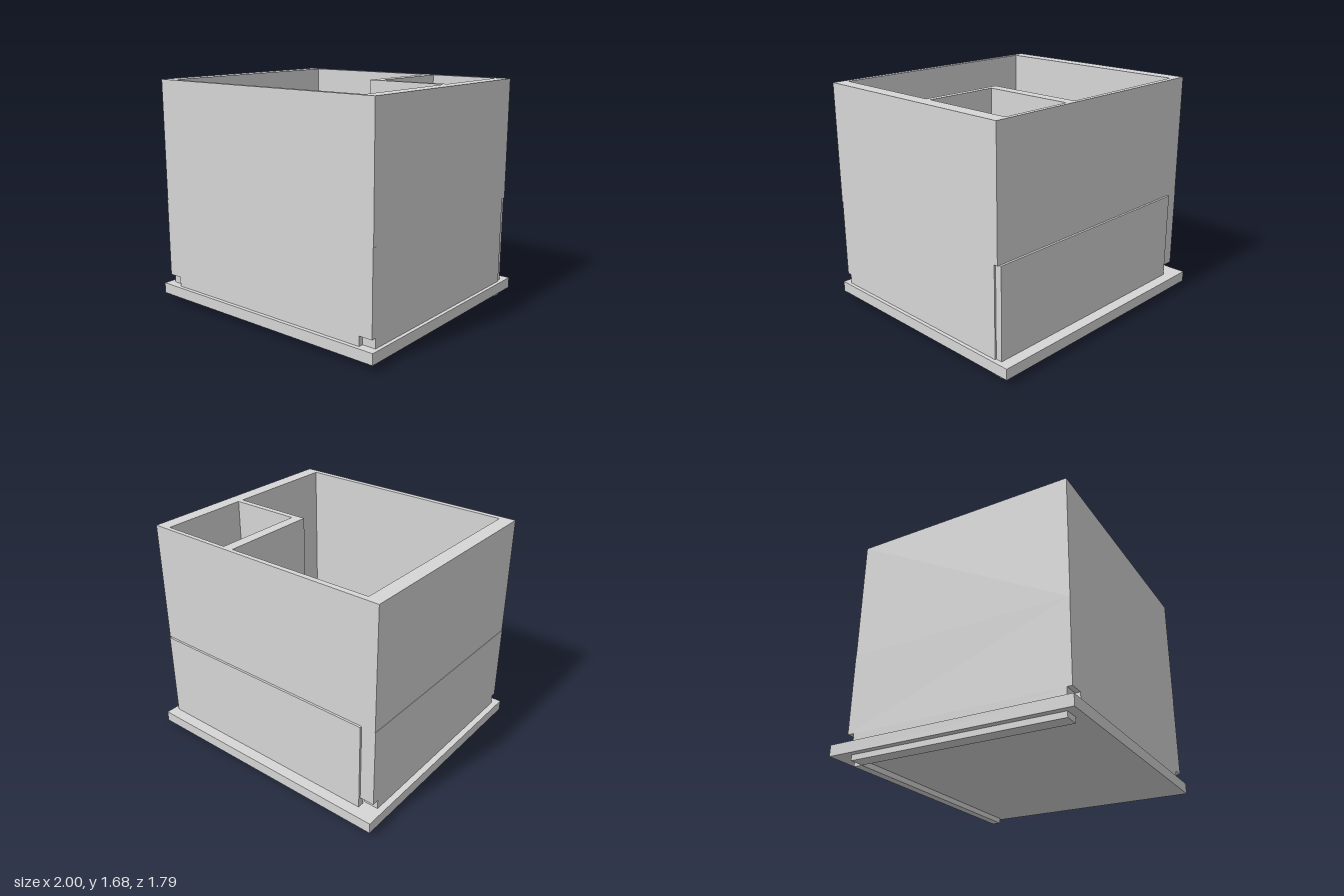
import * as THREE from 'three';

export function createModel() {
  const model = new THREE.Group();
  model.name = 'openBuilding';
  const grey = new THREE.MeshStandardMaterial({ color: 0xd6d6d6 });
  grey.name = 'plain grey';

  // Box given by its limits on each axis
  function block(name, [x0, x1], [y0, y1], [z0, z1]) {
    const mesh = new THREE.Mesh(new THREE.BoxGeometry(x1 - x0, y1 - y0, z1 - z0), grey);
    mesh.position.set((x0 + x1) / 2, (y0 + y1) / 2, (z0 + z1) / 2);
    mesh.name = name;
    model.add(mesh);
  }

  // Outline in x and z (counter-clockwise from above), raised from y0 to y1
  const outline = (points, Type) => new Type(points.map(([x, z]) => new THREE.Vector2(x, -z)));
  function storey(name, points, holes, y0, y1) {
    const shape = outline(points, THREE.Shape);
    shape.holes = holes.map((h) => outline(h, THREE.Path));
    const geometry = new THREE.ExtrudeGeometry(shape, { depth: y1 - y0, bevelEnabled: false });
    geometry.rotateX(-Math.PI / 2);
    const mesh = new THREE.Mesh(geometry, grey);
    mesh.position.y = y0;
    mesh.name = name;
    model.add(mesh);
  }

  const floor = 0.12, sill = 0.19, middle = 0.78, top = 1.68;
  const back = -0.764, front = 0.866;

  // Base plate and the small block standing on it
  block('basePlate', [-1, 1], [0.04, floor], [-0.895, 0.895]);
  block('floorBlock', [-0.71, -0.427], [floor, 0.4], [0.43, 0.695]);

  // Main room wraps round the corner room
  const mainRoom = [[-0.844, -0.752], [0.254, back], [0.254, -0.047], [0.872, -0.047], [0.872, 0.824], [-0.844, 0.824]];
  const cornerRoom = [[0.334, back], [0.872, back], [0.872, -0.09], [0.334, -0.09]];
  storey('upperWalls', [[-0.951, front], [0.977, front], [0.977, -0.796], [-0.951, -0.796]],
    [mainRoom, cornerRoom], middle, top);

  // Lower walls, with small notches at the foot of the corners
  const leftSide = [0.872, 0.973], rightSide = [-0.954, -0.846];
  block('leftWall', leftSide, [sill, middle], [back, front]);
  block('leftWallFoot', leftSide, [floor, sill], [back, 0.83]);
  block('rightWall', rightSide, [sill, middle], [-0.796, front]);
  block('rightWallFoot', rightSide, [0, sill], [-0.745, 0.83]);
  block('frontWall', [-0.846, 0.872], [floor, middle], [0.824, front]);
  block('backPanel', [-0.846, 0.961], [floor, middle], [-0.812, back]);
  block('backPanelFoot', [-0.846, 0.961], [0, 0.04], [-0.812, -0.745]);

  // Partition round the corner room
  block('partitionSide', [0.254, 0.334], [floor, middle], [back, -0.047]);
  block('partitionFront', [0.334, 0.872], [floor, middle], [-0.09, -0.047]);

  return model;
}
